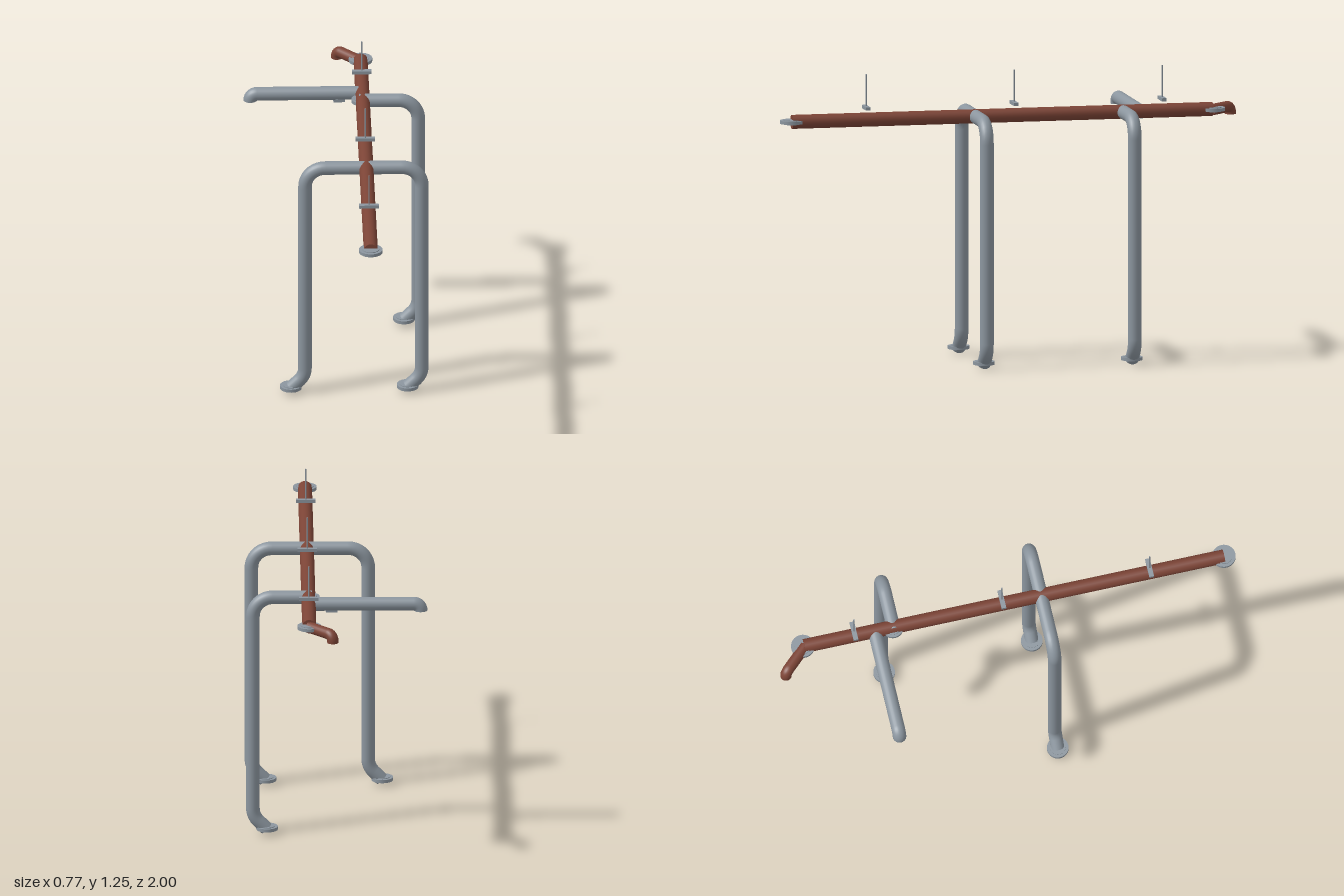
import * as THREE from 'three';

const steel = new THREE.MeshStandardMaterial({ color: 0x8c969f });
steel.name = 'steel grey';
const rust = new THREE.MeshStandardMaterial({ color: 0x7c4436 });
rust.name = 'rust brown';

const R = 0.029, Y = 1.057, MAIN_X = 0.12;

// Centre line through corner points, each corner rounded by its bend radius
function bentPath(points, bends) {
  const p = points.map(a => new THREE.Vector3(...a));
  const path = new THREE.CurvePath();
  let last = p[0];
  for (let i = 1; i < p.length - 1; i++) {
    const a = p[i - 1].clone().sub(p[i]).normalize();
    const b = p[i + 1].clone().sub(p[i]).normalize();
    const turn = Math.PI - a.angleTo(b);
    const d = bends[i - 1] * Math.tan(turn / 2);
    const k = d - (4 / 3) * Math.tan(turn / 4) * bends[i - 1];
    const at = (v, s) => p[i].clone().addScaledVector(v, s);
    path.add(new THREE.LineCurve3(last, at(a, d)));
    path.add(new THREE.CubicBezierCurve3(at(a, d), at(a, k), at(b, k), at(b, d)));
    last = at(b, d);
  }
  path.add(new THREE.LineCurve3(last, p[p.length - 1]));
  return path;
}

// Capped round pipe along a bent centre line
function pipe(name, points, bends, material, radius = R) {
  const group = new THREE.Group();
  group.name = name;
  const path = bentPath(points, bends);
  const segments = bends.length ? 160 : 1;
  const tube = new THREE.Mesh(new THREE.TubeGeometry(path, segments, radius, 24), material);
  tube.name = name + 'Tube';
  group.add(tube);
  for (const t of [0, 1]) {
    const cap = new THREE.Mesh(new THREE.CircleGeometry(radius, 24), material);
    cap.name = name + 'Cap';
    const dir = path.getTangentAt(t).multiplyScalar(t ? 1 : -1);
    cap.position.copy(path.getPointAt(t));
    cap.quaternion.setFromUnitVectors(new THREE.Vector3(0, 0, 1), dir);
    group.add(cap);
  }
  return group;
}

// Round plate with a slightly thicker hub
function flange(name, x, y, z, radius) {
  const group = new THREE.Group();
  group.name = name;
  for (const [r, h] of [[radius, 0.014], [radius * 0.74, 0.02]]) {
    const disc = new THREE.Mesh(new THREE.CylinderGeometry(r, r, h, 32), steel);
    disc.name = name + 'Disc';
    group.add(disc);
  }
  group.position.set(x, y, z);
  return group;
}

function box(name, w, h, d, x, y, z) {
  const mesh = new THREE.Mesh(new THREE.BoxGeometry(w, h, d), steel);
  mesh.name = name;
  mesh.position.set(x, y, z);
  return mesh;
}

export function createModel() {
  const model = new THREE.Group();
  model.name = 'pipeRack';

  // Main pipe with its angled, down-turned tail
  model.add(pipe('mainPipe', [[MAIN_X, Y, 0.95], [MAIN_X, Y, -0.875]], [], rust, 0.03));
  model.add(pipe('tailPipe',
    [[MAIN_X, 1.053, -0.87], [0.021, 1.053, -0.976], [0.021, 1.02, -0.976]], [0.026], rust, 0.024));
  model.add(flange('frontFlange', MAIN_X, Y, 0.95, 0.05));
  model.add(flange('backFlange', MAIN_X, Y, -0.88, 0.05));

  // Support frames: an arch in front, a single leg behind
  const leftX = 0.355, rightX = -0.14;
  const foot = x => [[x - 0.057, 0.023, 0], [x, 0.08, 0]];
  const place = (pts, z) => pts.map(([x, y]) => [x, y, z]);
  model.add(pipe('frontArch', place([
    ...foot(rightX), [rightX, Y], [leftX, Y], ...foot(leftX).reverse()], 0.155),
  [0.08, 0.085, 0.085, 0.08], steel));
  model.add(pipe('rearLeg', place([
    [MAIN_X - 0.015, Y], [leftX, Y], ...foot(leftX).reverse()], -0.487),
  [0.085, 0.08], steel));
  for (const [x, z] of [[rightX, 0.155], [leftX, 0.155], [leftX, -0.487]])
    model.add(flange('footFlange', x - 0.06, 0.026, z, 0.046));
  model.add(flange('jointFlange', 0.117, Y, -0.49, 0.045));

  // Side arm with down-turned end and a small clip underneath
  model.add(pipe('sideArm',
    [[MAIN_X, 1.054, -0.568], [-0.355, 1.054, -0.568], [-0.355, 1.025, -0.568]],
    [0.0285], steel));
  model.add(box('armClip', 0.05, 0.012, 0.016, 0.022, 1.022, -0.563));

  // Hanger plates and rods above the main pipe
  for (const z of [0.627, -0.015, -0.658]) {
    model.add(box('hangerPlate', 0.083, 0.014, 0.02, MAIN_X, 1.108, z));
    const rod = new THREE.Mesh(new THREE.CylinderGeometry(0.003, 0.003, 0.14, 10), steel);
    rod.name = 'hangerRod';
    rod.position.set(MAIN_X, 1.181, z);
    model.add(rod);
  }
  return model;
}
